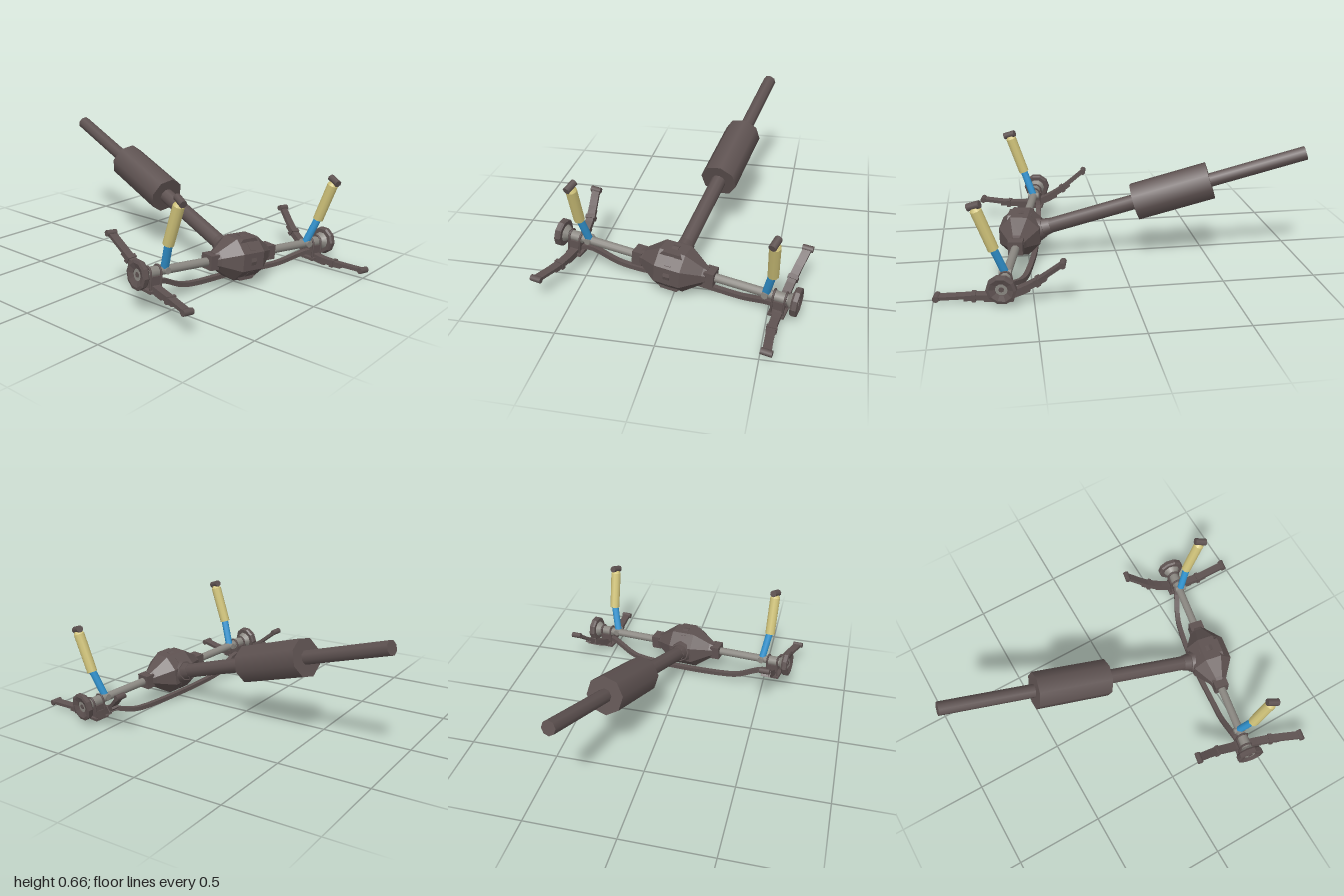
import * as THREE from 'three';

const V = (x, y, z) => new THREE.Vector3(x, y, z);
const mat = (name, color) => {
  const m = new THREE.MeshStandardMaterial({ color });
  m.name = name;
  return m;
};

export function createModel() {
  const dark = mat('dark iron', 0x5e5251);
  const grey = mat('grey steel', 0x8b8882);
  const yellow = mat('yellow paint', 0xd2c57b);
  const blue = mat('blue rod', 0x3295d2);
  const model = new THREE.Group();

  const add = (parent, name, geo, m) => {
    const mesh = new THREE.Mesh(geo, m);
    mesh.name = name;
    parent.add(mesh);
    return mesh;
  };
  const flat = (geo) => {
    const g = geo.index ? geo.toNonIndexed() : geo;
    g.computeVertexNormals();
    return g;
  };
  // cylinder or cone between two points
  const rod = (parent, name, a, b, ra, rb, m, sides = 10) => {
    const d = b.clone().sub(a);
    const mesh = add(parent, name, new THREE.CylinderGeometry(rb, ra, d.length(), sides), m);
    mesh.position.copy(a).addScaledVector(d, 0.5);
    mesh.quaternion.setFromUnitVectors(V(0, 1, 0), d.normalize());
    return mesh;
  };
  // rectangular bar swept along a curve, its width kept along a fixed side direction
  const bar = (curve, t0, t1, side, width, thick, drop = 0, n = 14) => {
    const pos = [], idx = [];
    for (let i = 0; i <= n; i++) {
      const t = t0 + (t1 - t0) * i / n;
      const p = curve.getPoint(t), tan = curve.getTangent(t);
      const s = side.clone().addScaledVector(tan, -side.dot(tan)).normalize();
      const up = tan.clone().cross(s).normalize();
      if (up.y < 0) { up.negate(); s.negate(); }
      p.addScaledVector(up, -drop);
      for (const [u, v] of [[-1, -1], [1, -1], [1, 1], [-1, 1]]) {
        const q = p.clone().addScaledVector(s, u * width / 2).addScaledVector(up, v * thick / 2);
        pos.push(q.x, q.y, q.z);
      }
    }
    for (let i = 0; i < n; i++) {
      for (let k = 0; k < 4; k++) {
        const a = i * 4 + k, b = i * 4 + (k + 1) % 4;
        idx.push(a, b, b + 4, a, b + 4, a + 4);
      }
    }
    const e = n * 4;
    idx.push(0, 2, 1, 0, 3, 2, e, e + 1, e + 2, e, e + 2, e + 3);
    const g = new THREE.BufferGeometry();
    g.setAttribute('position', new THREE.Float32BufferAttribute(pos, 3));
    g.setIndex(idx);
    return flat(g);
  };

  // axle frame: local x runs along the axle, local z faces forward
  const A = V(-0.645, 0.21, 0.41), B = V(0.645, 0.107, 0.66);
  const X = B.clone().sub(A).normalize();
  const Z = X.clone().cross(V(0, 1, 0)).normalize();
  const Y = Z.clone().cross(X);
  const axle = new THREE.Group();
  axle.name = 'axle';
  axle.quaternion.setFromRotationMatrix(new THREE.Matrix4().makeBasis(X, Y, Z));
  axle.position.copy(A).add(B).multiplyScalar(0.5);
  model.add(axle);
  rod(axle, 'axleTube', V(-0.64, 0, 0), V(0.64, 0, 0), 0.023, 0.023, grey, 12);

  // differential housing
  const profile = [[0, -0.185], [0.045, -0.185], [0.055, -0.165], [0.122, -0.07],
    [0.122, 0.07], [0.055, 0.165], [0.045, 0.185], [0, 0.185]].map(([r, y]) => new THREE.Vector2(r, y));
  const housing = new THREE.LatheGeometry(profile, 8, Math.PI / 8);
  housing.rotateZ(-Math.PI / 2);
  add(axle, 'differentialHousing', flat(housing), dark);
  const flange = new THREE.CylinderGeometry(0.122, 0.122, 0.022, 8);
  flange.rotateY(Math.PI / 8).rotateX(Math.PI / 2).scale(0.95, 1, 1);
  add(axle, 'coverFlange', flat(flange), dark).position.z = 0.055;
  const cover = new THREE.SphereGeometry(1, 10, 8);
  cover.scale(0.085, 0.108, 0.115);
  add(axle, 'differentialCover', flat(cover), dark);
  const rib = new THREE.CylinderGeometry(0.118, 0.118, 0.035, 12);
  rib.rotateZ(Math.PI / 2);
  add(axle, 'coverRib', flat(rib), dark);

  for (const s of [-1, 1]) {
    // housing collar
    add(axle, 'housingCollar', new THREE.BoxGeometry(0.055, 0.078, 0.08), dark).position.x = s * 0.2;

    // hub with open centre, backing plate and bearing
    const ring = new THREE.LatheGeometry([[0.032, -0.018], [0.07, -0.018], [0.077, -0.008],
      [0.077, 0.014], [0.062, 0.018], [0.032, 0.008], [0.032, -0.018]]
      .map(([r, y]) => new THREE.Vector2(r, y)), 10);
    ring.rotateZ(-s * Math.PI / 2);
    add(axle, 'hub', flat(ring), dark).position.x = s * 0.657;
    rod(axle, 'backingPlate', V(s * 0.615, 0, 0), V(s * 0.641, 0, 0), 0.03, 0.05, grey);
    rod(axle, 'bearing', V(s * 0.63, 0, 0), V(s * 0.661, 0, 0), 0.032, 0.032, grey);
    rod(axle, 'bearingBore', V(s * 0.64, 0, 0), V(s * 0.664, 0, 0), 0.014, 0.014, dark, 8);
    rod(axle, 'axleSleeve', V(s * 0.535, 0, 0), V(s * 0.61, 0, 0), 0.029, 0.029, grey);

    // spring saddle and clamp
    const x = s * 0.572;
    add(axle, 'springSaddle', new THREE.BoxGeometry(0.052, 0.045, 0.07), dark).position.set(x, -0.035, 0);
    add(axle, 'clampPlate', new THREE.BoxGeometry(0.085, 0.014, 0.095), dark).position.set(x, -0.088, 0);
    for (const dx of [-0.031, 0.031]) {
      const loop = new THREE.CatmullRomCurve3([V(0, -0.1, 0.034), V(0, -0.02, 0.034), V(0, 0.02, 0.026),
        V(0, 0.033, 0), V(0, 0.02, -0.026), V(0, -0.02, -0.034), V(0, -0.1, -0.034)]);
      add(axle, 'uBolt', new THREE.TubeGeometry(loop, 16, 0.006, 5), dark).position.x = x + dx;
    }
  }

  // propeller shaft with thick middle sleeve
  const S0 = V(0.015, 0.17, 0.44), S1 = V(0.305, 0.633, -0.985);
  const at = (z) => S0.clone().lerp(S1, (S0.z - z) / (S0.z - S1.z));
  rod(model, 'pinionHousing', at(0.52), at(0.41), 0.105, 0.058, dark, 8);
  rod(model, 'pinionNeck', at(0.43), at(0.37), 0.055, 0.045, dark, 8);
  rod(model, 'driveShaft', at(0.44), at(-0.2), 0.042, 0.042, dark, 10);
  rod(model, 'shaftSleeve', at(-0.09), at(-0.49), 0.106, 0.106, dark, 8);
  rod(model, 'rearShaft', at(-0.4), at(-0.985), 0.039, 0.039, dark, 8);

  // leaf springs
  const springs = [
    [V(-0.54, 0.33, 0.125), V(-0.537, 0.225, 0.265), V(-0.56, 0.145, 0.42), V(-0.606, 0.127, 0.58), V(-0.677, 0.13, 0.75)],
    [V(0.67, 0.235, 0.36), V(0.607, 0.125, 0.49), V(0.562, 0.048, 0.645), V(0.538, 0.036, 0.79), V(0.533, 0.036, 0.98)],
  ];
  for (const pts of springs) {
    const spring = new THREE.Group();
    spring.name = 'leafSpring';
    model.add(spring);
    const c = new THREE.CatmullRomCurve3(pts);
    add(spring, 'mainLeaf', bar(c, 0, 1, X, 0.044, 0.018), dark);
    add(spring, 'middleLeaf', bar(c, 0.17, 0.83, X, 0.042, 0.014, 0.014), dark);
    add(spring, 'shortLeaf', bar(c, 0.32, 0.68, X, 0.04, 0.012, 0.025), dark);
    for (const t of [0.24, 0.76]) {
      add(spring, 'leafClip', bar(c, t - 0.015, t + 0.015, X, 0.054, 0.04, 0.006, 1), dark);
    }
    for (const p of [pts[0], pts[4]]) {
      rod(spring, 'springEye', p.clone().addScaledVector(X, -0.029), p.clone().addScaledVector(X, 0.029),
        0.017, 0.017, dark, 8);
    }
  }

  // shock absorbers: lower joint, rod, body and upper eye
  const shocks = [
    [V(-0.487, 0.2, 0.44), V(-0.517, 0.35, 0.492), V(-0.522, 0.56, 0.562)],
    [V(0.487, 0.125, 0.637), V(0.523, 0.27, 0.69), V(0.53, 0.48, 0.765)],
  ];
  for (const [foot, mid, top] of shocks) {
    const shock = new THREE.Group();
    shock.name = 'shockAbsorber';
    model.add(shock);
    const up = top.clone().sub(mid).normalize();
    const e = V(0.012, 0.011, -0.03);
    const eye = top.clone().addScaledVector(up, 0.026);
    rod(shock, 'lowerJoint', foot.clone().addScaledVector(Z, -0.032), foot.clone().addScaledVector(Z, 0.032),
      0.018, 0.018, grey, 8);
    rod(shock, 'shockRod', foot, mid.clone().addScaledVector(up, 0.02), 0.021, 0.021, blue);
    rod(shock, 'shockBody', mid, top, 0.029, 0.03, yellow);
    rod(shock, 'shockCap', top, top.clone().addScaledVector(up, 0.016), 0.03, 0.02, yellow);
    rod(shock, 'upperEye', eye.clone().sub(e), eye.clone().add(e), 0.02, 0.02, dark, 8);
  }

  // sway bar passing beneath and behind the differential
  const sway = new THREE.CatmullRomCurve3([V(-0.55, 0.137, 0.415), V(-0.48, 0.132, 0.413), V(-0.35, 0.073, 0.42),
    V(-0.26, 0.054, 0.432), V(0.04, 0.034, 0.468), V(0.3, 0.018, 0.527), V(0.37, 0.024, 0.553),
    V(0.49, 0.06, 0.615), V(0.545, 0.066, 0.64)]);
  add(model, 'swayBar', bar(sway, 0, 1, Z, 0.028, 0.024, 0, 30), dark);

  return model;
}
